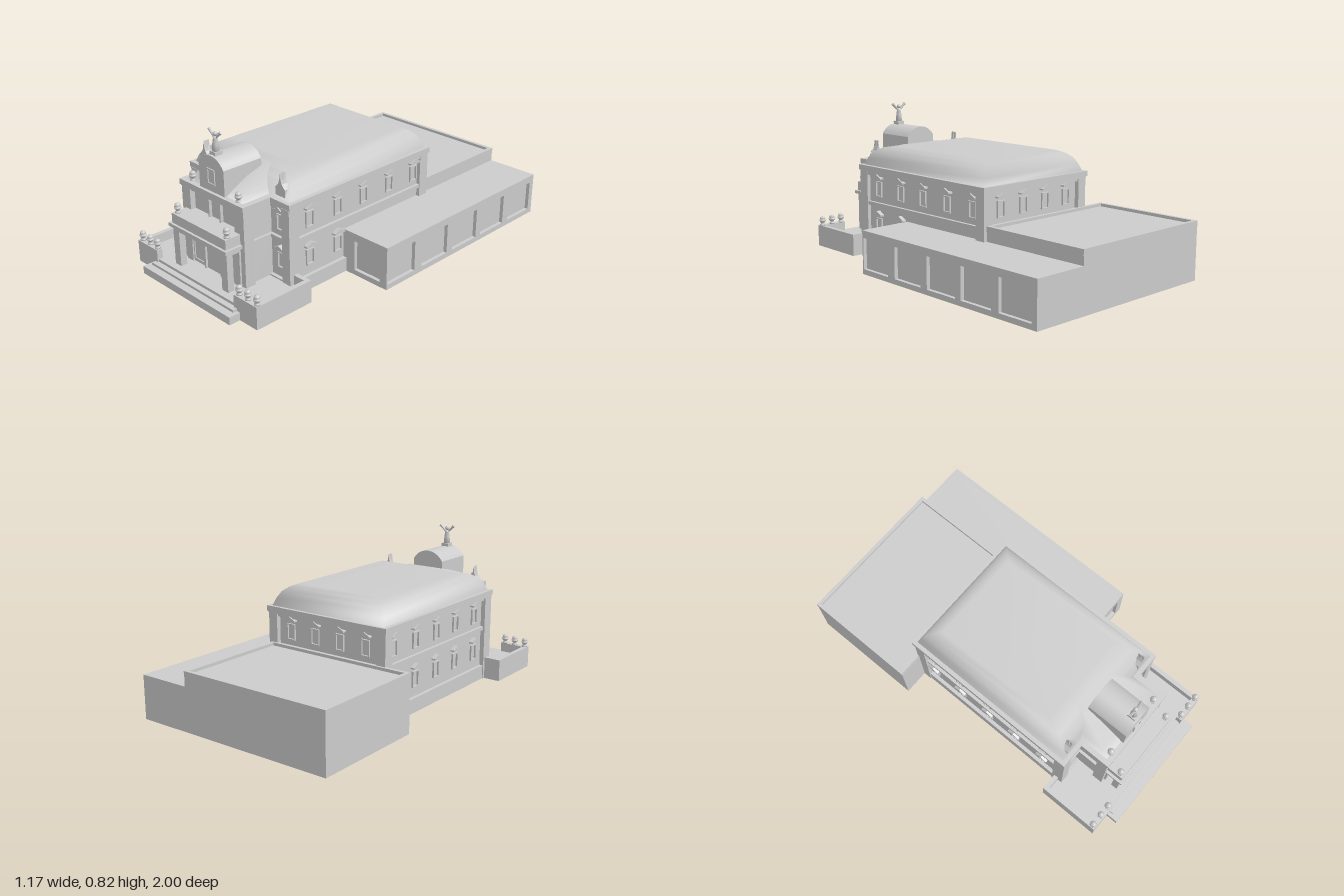
import * as THREE from 'three';

const mat = new THREE.MeshStandardMaterial({ color: 0xcccccc });
const CX = -0.07; // axis of the main building

export function createModel() {
  const root = new THREE.Group();
  const add = (name, geo, parent = root) => {
    const m = new THREE.Mesh(geo, mat);
    m.name = name;
    parent.add(m);
    return m;
  };
  const box = (name, x0, x1, y0, y1, z0, z1, parent) => {
    const m = add(name, new THREE.BoxGeometry(x1 - x0, y1 - y0, z1 - z0), parent);
    m.position.set((x0 + x1) / 2, (y0 + y1) / 2, (z0 + z1) / 2);
    return m;
  };
  const polygon = pts => new THREE.Shape(pts.map(p => new THREE.Vector2(...p)));
  const rect = (x0, x1, y0, y1) => polygon([[x0, y0], [x1, y0], [x1, y1], [x0, y1]]);
  const extrude = (shape, depth) =>
    new THREE.ExtrudeGeometry(shape, { depth, bevelEnabled: false, curveSegments: 20 });
  const frame = (x0, x1, y0, y1, w, depth) => {
    const s = rect(x0, x1, y0, y1);
    s.holes.push(rect(x0 + w, x1 - w, y0 + w, y1 - w));
    return extrude(s, depth);
  };

  // Main hall: recessed core, plinth, bands and corner piers
  box('hallWalls', -0.42, 0.285, 0, 0.48, -0.35, 0.615);
  box('hallPlinth', -0.44, 0.305, 0, 0.078, -0.37, 0.635);
  box('hallStringCourse', -0.437, 0.302, 0.285, 0.305, -0.367, 0.632);
  box('hallFrieze', -0.437, 0.302, 0.455, 0.475, -0.367, 0.632);
  for (const [x0, x1] of [[-0.445, -0.39], [0.25, 0.305]])
    for (const [z0, z1] of [[-0.375, -0.315], [0.575, 0.64]])
      box('hallCornerPier', x0, x1, 0, 0.475, z0, z1);

  // Front bay
  box('bayWalls', -0.285, 0.15, 0, 0.48, 0.5, 0.775);
  box('bayStringCourse', -0.3, 0.165, 0.285, 0.305, 0.6, 0.795);
  box('bayFrieze', -0.3, 0.165, 0.458, 0.475, 0.6, 0.795);
  for (const [x0, x1] of [[-0.305, -0.24], [0.1, 0.17]])
    box('bayCornerPier', x0, x1, 0, 0.475, 0.745, 0.805);
  add('bayWindow', frame(-0.117, -0.02, 0.345, 0.462, 0.01, 0.02)).position.z = 0.772;

  // Cornice follows the outline of hall and bay in two steps
  const cornice = (o, y, h) => {
    const l = CX - 0.373 - o, r = CX + 0.373 + o, bl = -0.303 - o, br = 0.168 + o;
    const f = 0.633 + o, b = 0.803 + o, k = -0.373 - o;
    const g = extrude(polygon([[l, -f], [bl, -f], [bl, -b], [br, -b], [br, -f], [r, -f], [r, -k], [l, -k]]), h);
    add('cornice', g.rotateX(-Math.PI / 2)).position.y = y;
  };
  cornice(0.004, 0.47, 0.01);
  cornice(0.009, 0.478, 0.029);

  // Curved hip roofs lofted through inset rectangles: [y, side, front, back inset]
  const roof = (name, x0, x1, z0, z1, rings) => {
    const pos = [], idx = [];
    rings.forEach(([y, s, f, b]) => pos.push(
      x0 + s, y, z1 - f, x1 - s, y, z1 - f, x1 - s, y, z0 + b, x0 + s, y, z0 + b));
    for (let i = 0; i < rings.length - 1; i++)
      for (let j = 0; j < 4; j++) {
        const a = i * 4 + j, c = i * 4 + (j + 1) % 4;
        idx.push(a, c, c + 4, a, c + 4, a + 4);
      }
    const t = (rings.length - 1) * 4;
    idx.push(t, t + 1, t + 2, t, t + 2, t + 3);
    const g = new THREE.BufferGeometry();
    g.setAttribute('position', new THREE.Float32BufferAttribute(pos, 3));
    g.setIndex(idx);
    g.computeVertexNormals();
    add(name, g);
  };
  roof('hallRoof', -0.43, 0.29, -0.365, 0.62,
    [[0.505, 0, 0, 0], [0.545, 0.015, 0.015, 0.015], [0.58, 0.035, 0.04, 0.035], [0.605, 0.065, 0.09, 0.065], [0.62, 0.1, 0.17, 0.1]]);
  roof('bayRoof', -0.285, 0.145, 0.2, 0.785,
    [[0.505, 0, 0, 0], [0.535, 0.02, 0.05, 0], [0.575, 0.05, 0.13, 0], [0.603, 0.085, 0.22, 0], [0.618, 0.125, 0.36, 0]]);

  // Arched attic with its window
  const attic = new THREE.Shape();
  attic.moveTo(-0.095, 0.49);
  attic.lineTo(0.095, 0.49);
  attic.lineTo(0.095, 0.642);
  attic.quadraticCurveTo(0.06, 0.695, 0, 0.695);
  attic.quadraticCurveTo(-0.06, 0.695, -0.095, 0.642);
  add('archedAttic', extrude(attic, 0.235)).position.set(CX, 0, 0.56);
  add('atticWindow', frame(-0.028, 0.028, 0.545, 0.627, 0.006, 0.008)).position.set(CX, 0, 0.793);

  // Rooftop figure with raised arms
  const statue = new THREE.Group();
  statue.name = 'rooftopStatue';
  statue.position.set(CX, 0.69, 0.76);
  root.add(statue);
  box('statuePedestal', -0.022, 0.022, 0, 0.022, -0.022, 0.022, statue);
  add('robe', new THREE.LatheGeometry([[0, 0.02], [0.019, 0.02], [0.015, 0.06], [0.011, 0.085], [0.013, 0.093], [0, 0.1]]
    .map(p => new THREE.Vector2(...p)), 12), statue);
  add('statueHead', new THREE.SphereGeometry(0.012, 12, 8), statue).position.y = 0.109;
  for (const s of [-1, 1]) {
    const arm = add('raisedArm', new THREE.CylinderGeometry(0.008, 0.005, 0.05, 6), statue);
    arm.position.set(s * 0.027, 0.108, 0);
    arm.rotation.z = -s * 0.8;
  }

  // Spired corner ornaments on the hall roof
  for (const x of [-0.36, 0.22]) {
    const g = polygon([[-0.034, 0.5], [0.034, 0.5], [0.034, 0.558], [0.012, 0.582], [0.004, 0.605],
      [0, 0.637], [-0.004, 0.605], [-0.012, 0.582], [-0.034, 0.558]]);
    add('cornerOrnament', extrude(g, 0.035)).position.set(x, 0, 0.58);
    const spire = add('cornerSpire', new THREE.ConeGeometry(0.013, 0.065, 8));
    spire.position.set(x, 0.607, 0.598);
  }

  // Windows with gabled hoods
  const windowAt = (x, y, z, ry) => {
    const w = new THREE.Group();
    w.name = 'hoodedWindow';
    w.position.set(x, y, z);
    w.rotation.y = ry;
    root.add(w);
    add('windowFrame', frame(-0.026, 0.026, 0, 0.087, 0.006, 0.01), w);
    add('windowHood', extrude(polygon([[-0.036, 0.103], [0.036, 0.103], [0.036, 0.111], [0, 0.13], [-0.036, 0.111]]), 0.024), w);
  };
  const UP = 0.337, LOW = 0.13, Q = Math.PI / 2;
  [0.49, 0.297, 0.11, -0.083, -0.275].forEach((z, i) => {
    windowAt(0.285, UP, z, Q);
    windowAt(-0.42, UP, z, -Q);
    windowAt(-0.42, LOW, z, -Q);
    if (i < 2) windowAt(0.285, LOW, z, Q);
  });
  for (const x of [-0.362, 0.222]) for (const y of [UP, LOW]) windowAt(x, y, 0.615, 0);
  for (const x of [-0.31, -0.15, 0.01, 0.17]) windowAt(x, UP, -0.35, Math.PI);

  // Entrance porch
  for (const s of [-1, 1]) {
    const x = CX + s * 0.187;
    box('porchPier', x - 0.023, x + 0.023, 0.06, 0.29, 0.855, 0.892);
    box('porchPilaster', x - 0.023, x + 0.023, 0.06, 0.29, 0.77, 0.815);
  }
  box('porchLintel', -0.28, 0.14, 0.263, 0.29, 0.77, 0.892);
  box('porchCornice', -0.295, 0.155, 0.284, 0.302, 0.77, 0.908);
  box('porchParapet', -0.28, 0.14, 0.3, 0.355, 0.77, 0.895);
  box('porchBackWall', -0.28, 0.14, 0.06, 0.27, 0.76, 0.805);
  add('doorFrame', frame(-0.067, 0.067, 0.06, 0.242, 0.01, 0.014)).position.set(CX, 0, 0.803);
  for (const x of [-0.187, 0.047])
    add('porchSidePanel', frame(-0.042, 0.042, 0.085, 0.242, 0.007, 0.008)).position.set(x, 0, 0.803);

  // Terrace with parapets and front steps
  box('terraceFloor', -0.53, 0.39, 0, 0.07, 0.6, 0.93);
  box('upperStep', -0.395, 0.257, 0, 0.055, 0.9, 0.96);
  box('lowerStep', -0.415, 0.277, 0, 0.042, 0.9, 1);
  for (const s of [-1, 1]) {
    const span = (name, a, b, z0, z1) =>
      box(name, Math.min(CX + s * a, CX + s * b), Math.max(CX + s * a, CX + s * b), 0, 0.122, z0, z1);
    span('terraceSideParapet', 0.445, 0.47, 0.59, 0.937);
    span('terraceFrontParapet', 0.305, 0.47, 0.905, 0.937);
    span('terraceBackParapet', 0.36, 0.47, 0.59, 0.615);
  }

  // Ball-topped urns
  const urnGeo = new THREE.LatheGeometry([[0, 0], [0.015, 0], [0.015, 0.006], [0.009, 0.01], [0.011, 0.016],
    [0.019, 0.026], [0.019, 0.031], [0.012, 0.033], [0.016, 0.04], [0.013, 0.048], [0, 0.053]]
    .map(p => new THREE.Vector2(...p)), 14);
  const urnRows = [[0.505, 0.777, [0.176]], [0.355, 0.87, [0.191]], [0.122, 0.917, [0.325, 0.388, 0.453]]];
  for (const [y, z, offsets] of urnRows)
    for (const o of offsets) for (const s of [-1, 1])
      add('urn', urnGeo).position.set(CX + s * o, y, z);

  // Low side wing with recessed panels
  box('sideWing', 0.2, 0.563, 0, 0.235, -1, 0.23);
  const sideSkin = rect(-0.25, 1, 0, 0.235);
  for (const c of [-0.14, 0.12, 0.37, 0.615, 0.865]) sideSkin.holes.push(rect(c - 0.102, c + 0.102, 0.028, 0.195));
  const side = add('sideWingPanels', extrude(sideSkin, 0.022));
  side.rotation.y = Q;
  side.position.x = 0.561;
  const endSkin = rect(0.2, 0.563, 0, 0.235);
  endSkin.holes.push(rect(0.362, 0.535, 0.028, 0.192));
  add('sideWingEndPanel', extrude(endSkin, 0.022)).position.z = 0.228;

  // Rear wing with rimmed flat roof
  box('rearWing', -0.583, 0.285, 0, 0.297, -1, -0.365);
  const rim = add('rearRoofRim', frame(-0.585, 0.287, 0.367, 1, 0.02, 0.03));
  rim.rotation.x = -Q;
  rim.position.y = 0.283;

  return root;
}
